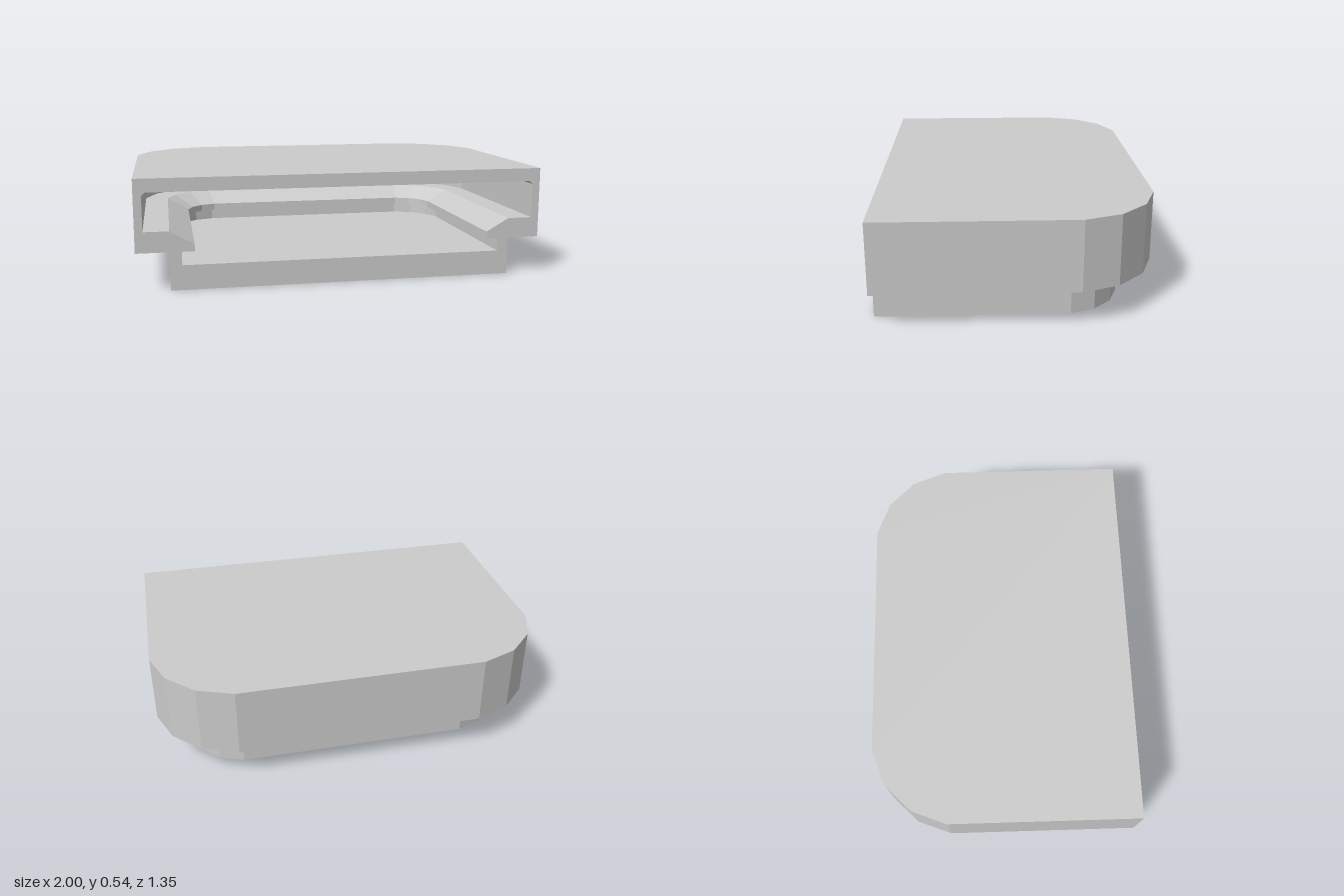
import * as THREE from 'three';

const FRONT = 0.675;
// Quarter-corner outline, in units of the corner radius
const CORNER = [[1, 0], [0.82, 0.47], [0.47, 0.82], [0, 1]];

// Profiles as [inset from outer edge, height]
const BASE = [[0.16, 0], [0.16, 0.185]];
const BODY = [[0.16, 0.185], [0, 0.185], [0, 0.535]];
const CAVITY = [
  [0.055, 0.47], [0.038, 0.455], [0.038, 0.285], [0.16, 0.285],
  [0.275, 0.22], [0.275, 0.185], [0.215, 0.185], [0.215, 0.12],
];

// U-shaped ring: right front, round the back, to left front
function ring([inset, y]) {
  const r = 0.38 - 0.8 * inset;
  const cx = 1 - inset - r, cz = -FRONT + inset + r;
  const right = CORNER.map(([a, b]) => [cx + a * r, y, cz - b * r]);
  right.unshift([1 - inset, y, FRONT]);
  const left = right.map(([x, h, z]) => [-x, h, z]).reverse();
  return [...right, ...left];
}

// Walls between successive rings
function walls(profile, out) {
  const rings = profile.map(ring);
  for (let k = 0; k + 1 < rings.length; k++) {
    const a = rings[k], b = rings[k + 1];
    for (let i = 0; i + 1 < a.length; i++) {
      out.push(...a[i], ...a[i + 1], ...b[i + 1], ...a[i], ...b[i + 1], ...b[i]);
    }
  }
}

// Flat panel filling a ring
function panel(level, up, out) {
  const p = ring(level);
  for (let i = 1; i + 1 < p.length; i++) {
    out.push(...p[0], ...(up ? p[i] : p[i + 1]), ...(up ? p[i + 1] : p[i]));
  }
}

// Mirrored outline of a profile on the front plane
function section(profile) {
  const right = profile.map(([d, y]) => new THREE.Vector2(1 - d, y));
  const left = right.map((p) => new THREE.Vector2(-p.x, p.y)).reverse();
  return [...right, ...left];
}

export function createModel() {
  const group = new THREE.Group();
  group.name = 'openFrontHousing';
  const material = new THREE.MeshStandardMaterial({ color: 0xcccccc, flatShading: true });

  function add(name, geometry) {
    const mesh = new THREE.Mesh(geometry, material);
    mesh.name = name;
    group.add(mesh);
  }
  function addFaces(name, positions) {
    const g = new THREE.BufferGeometry();
    g.setAttribute('position', new THREE.Float32BufferAttribute(positions, 3));
    g.computeVertexNormals();
    add(name, g);
  }

  // Narrow base with its underside
  const base = [];
  panel(BASE[0], false, base);
  walls(BASE, base);
  addFaces('base', base);

  // Wider upper body with overhang and lid
  const body = [];
  walls(BODY, body);
  panel(BODY[BODY.length - 1], true, body);
  addFaces('upperBody', body);

  // Stepped cavity: ceiling, sliding groove, sloped lip, lower recess, floor
  const cavity = [];
  panel(CAVITY[0], false, cavity);
  walls(CAVITY, cavity);
  panel(CAVITY[CAVITY.length - 1], true, cavity);
  addFaces('cavity', cavity);

  // Front rim around the opening
  const rim = new THREE.Shape(section([...BASE, ...BODY.slice(1)]));
  rim.holes.push(new THREE.Path(section(CAVITY)));
  add('frontRim', new THREE.ShapeGeometry(rim).translate(0, 0, FRONT));

  return group;
}
